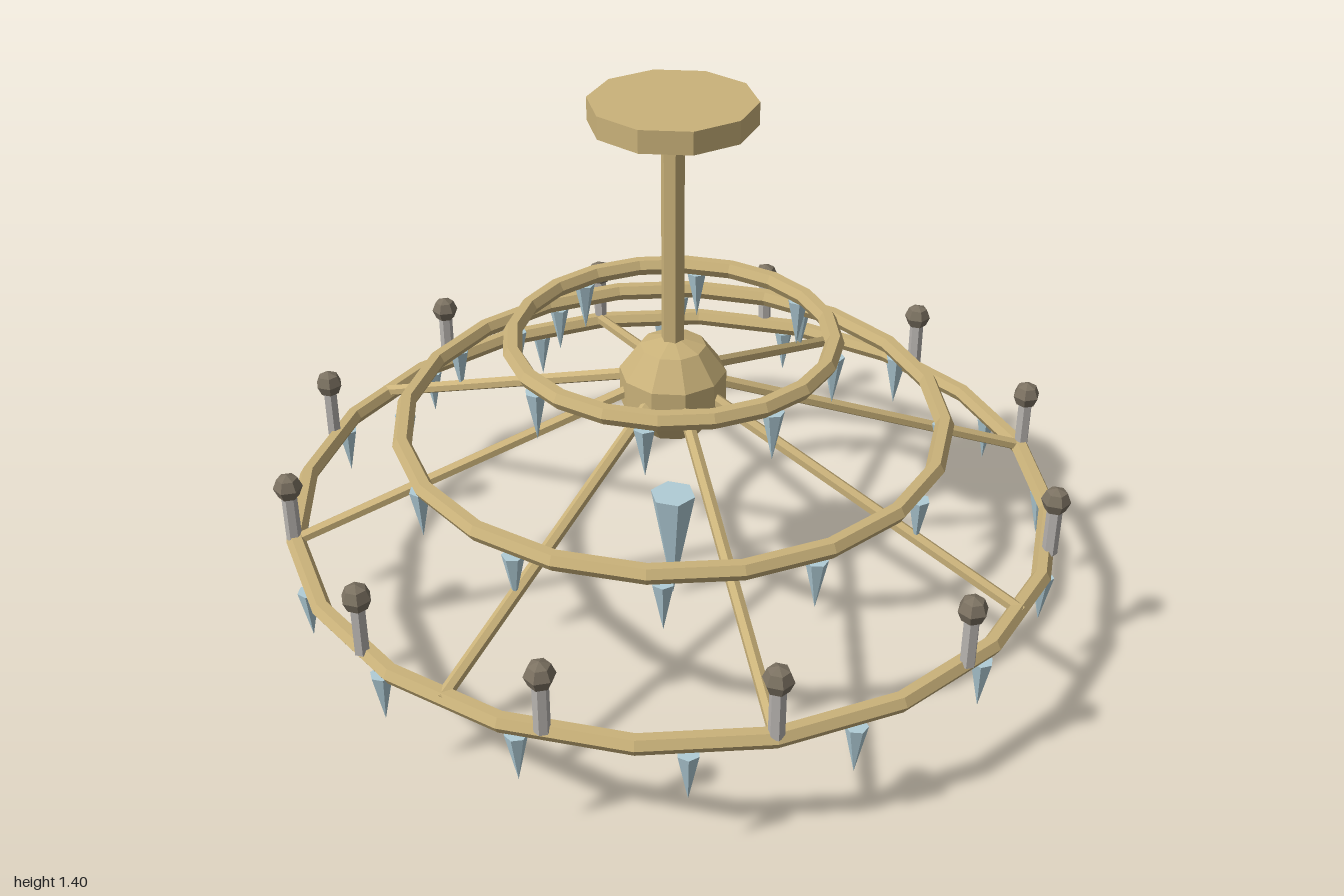
import * as THREE from 'three';

const flat = (name, color) => {
  const m = new THREE.MeshStandardMaterial({ color, flatShading: true });
  m.name = name;
  return m;
};

export function createModel() {
  const brass = flat('brass', 0xcab27a);
  const crystal = flat('crystal', 0xb0ccd6);
  const candleGrey = flat('candle grey', 0xb8b4b0);
  const bulbBrown = flat('bulb brown', 0x7c7262);

  const model = new THREE.Group();
  model.name = 'chandelier';

  const add = (name, geometry, material, x = 0, y = 0, z = 0) => {
    const mesh = new THREE.Mesh(geometry, material);
    mesh.name = name;
    mesh.position.set(x, y, z);
    model.add(mesh);
    return mesh;
  };

  // Calls place(x, z, angle) at evenly spaced points of a circle
  const around = (count, radius, offset, place) => {
    for (let i = 0; i < count; i++) {
      const a = ((i + offset) / count) * Math.PI * 2;
      place(Math.sin(a) * radius, Math.cos(a) * radius, a);
    }
  };

  // Ceiling plate, stem and hub
  add('ceilingPlate', new THREE.CylinderGeometry(0.2, 0.2, 0.056, 10), brass, 0, 1.375, 0);
  add('stem', new THREE.CylinderGeometry(0.029, 0.029, 0.65, 6), brass, 0, 1.03, 0);
  add('hub', new THREE.SphereGeometry(0.14, 10, 5).rotateY(Math.PI / 2), brass, 0, 0.65, 0);

  // Three rings, each with hanging crystals
  const dropGeo = new THREE.CylinderGeometry(0.027, 0, 0.13, 6);
  const rings = [
    { name: 'upper', radius: 0.397, y: 0.785, drops: 8 },
    { name: 'middle', radius: 0.68, y: 0.566, drops: 12 },
    { name: 'lower', radius: 0.96, y: 0.327, drops: 16 },
  ];
  for (const { name, radius, y, drops } of rings) {
    add(`${name}Ring`, new THREE.TorusGeometry(radius, 0.024, 6, 20).rotateX(Math.PI / 2), brass, 0, y, 0);
    around(drops, radius, 0.5, (x, z, a) => {
      add(`${name}Crystal`, dropGeo, crystal, x, y - 0.086, z).rotation.y = a;
    });
  }

  // Sloping spokes from the hub to the lower ring
  const inner = new THREE.Vector2(0.12, 0.645);
  const outer = new THREE.Vector2(0.96, 0.33);
  const spokeGeo = new THREE.CylinderGeometry(0.016, 0.016, inner.distanceTo(outer), 6);
  spokeGeo.rotateX(Math.PI / 2 + Math.atan2(inner.y - outer.y, outer.x - inner.x));
  spokeGeo.translate(0, (inner.y + outer.y) / 2, (inner.x + outer.x) / 2);
  around(8, 0, 0, (x, z, a) => {
    add('spoke', spokeGeo, brass).rotation.y = a;
  });

  // Candles with bulbs on the lower ring
  const candleGeo = new THREE.CylinderGeometry(0.019, 0.019, 0.13, 6);
  const bulbGeo = new THREE.SphereGeometry(0.036, 6, 4).rotateY(Math.PI / 2);
  around(12, 0.963, 0, (x, z, a) => {
    add('candle', candleGeo, candleGrey, x, 0.4, z).rotation.y = a;
    add('bulb', bulbGeo, bulbBrown, x, 0.487, z).rotation.y = a;
  });

  // Large central crystal
  add('centreCrystal', new THREE.CylinderGeometry(0.06, 0, 0.32, 6), crystal, 0, 0.16, 0);

  return model;
}
